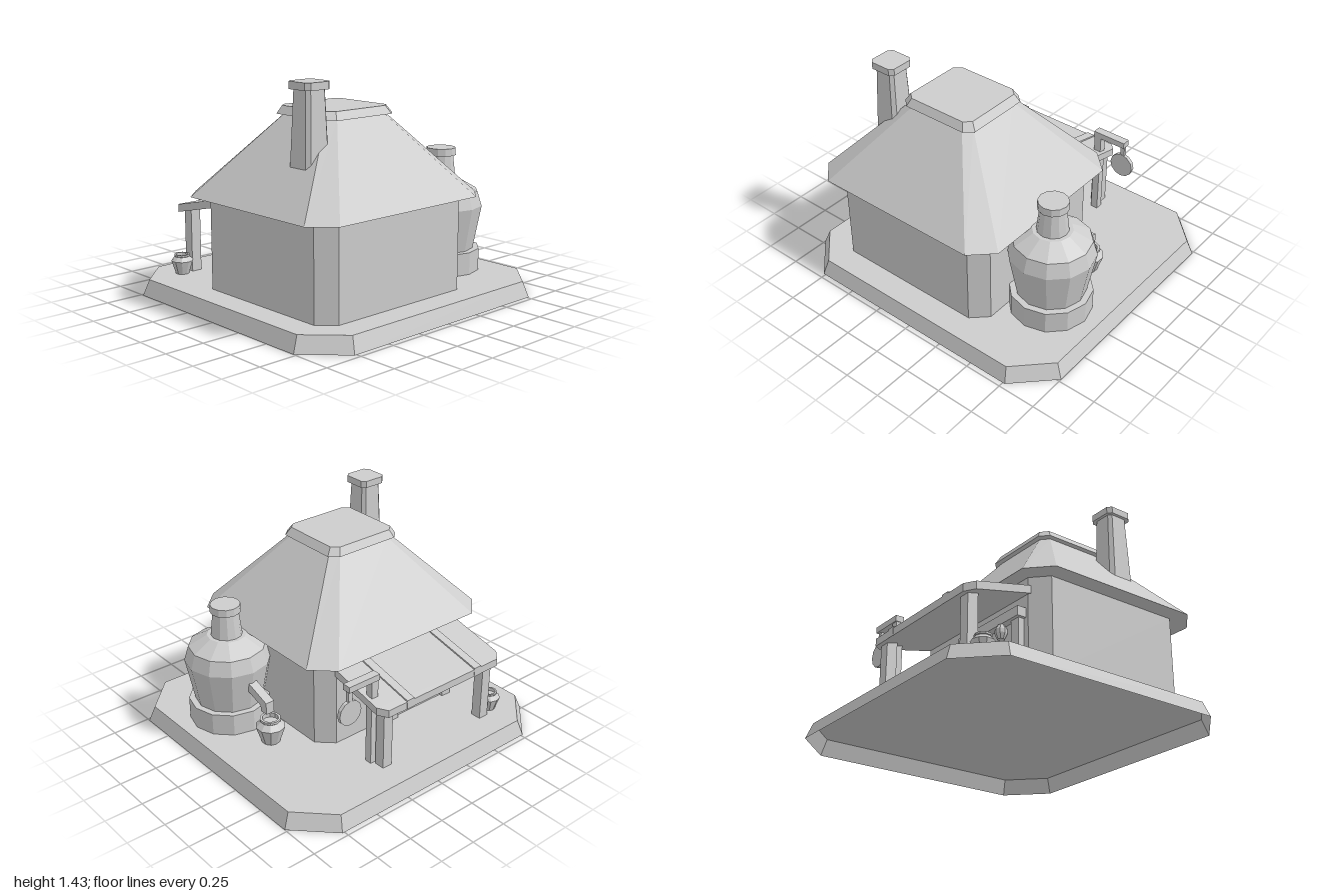
import * as THREE from 'three';

const grey = new THREE.MeshStandardMaterial({
  color: 0xcccccc, flatShading: true, side: THREE.DoubleSide,
});
grey.name = 'plain grey';

// Corner-cut rectangle, counter-clockwise from above: c = [cut in x, cut in z]
function ring({ y, x, z, c }) {
  const [x0, x1] = x, [z0, z1] = z, [cx, cz] = c;
  return [
    [x1, z1 - cz], [x1, z0 + cz], [x1 - cx, z0], [x0 + cx, z0],
    [x0, z0 + cz], [x0, z1 - cz], [x0 + cx, z1], [x1 - cx, z1],
  ].map(([px, pz]) => [px, y, pz]);
}

// Solid through two corner-cut sections, optionally without its underside
function loft(lower, upper, openBottom = false) {
  const a = ring(lower), b = ring(upper), pos = [];
  const tri = (...pts) => pts.forEach((p) => pos.push(...p));
  for (let i = 0; i < 8; i++) {
    const j = (i + 1) % 8;
    tri(a[i], a[j], b[j]);
    tri(a[i], b[j], b[i]);
  }
  for (let i = 1; i < 7; i++) {
    tri(b[0], b[i], b[i + 1]);
    if (!openBottom) tri(a[0], a[i + 1], a[i]);
  }
  const g = new THREE.BufferGeometry();
  g.setAttribute('position', new THREE.Float32BufferAttribute(pos, 3));
  g.computeVertexNormals();
  return g;
}

const boxBetween = (x, y, z) =>
  new THREE.BoxGeometry(x[1] - x[0], y[1] - y[0], z[1] - z[0])
    .translate((x[0] + x[1]) / 2, (y[0] + y[1]) / 2, (z[0] + z[1]) / 2);

const lathe = (profile, sides, x, z) =>
  new THREE.LatheGeometry(profile.map(([r, y]) => new THREE.Vector2(r, y)), sides)
    .translate(x, 0, z);

// Flat outline (x, distance behind centre) raised to a slab and sheared to the awning pitch
function slopedSlab(outline, thickness, top) {
  const shape = new THREE.Shape(outline.map(([x, d]) => new THREE.Vector2(x, d)));
  const g = new THREE.ExtrudeGeometry(shape, { depth: thickness, bevelEnabled: false });
  g.rotateX(-Math.PI / 2);
  const p = g.attributes.position;
  for (let i = 0; i < p.count; i++) {
    p.setY(i, p.getY(i) + top - thickness + (p.getZ(i) + 0.37) * 0.235);
  }
  g.computeVertexNormals();
  return g;
}

export function createModel() {
  const model = new THREE.Group();
  const add = (name, geometry) => {
    const mesh = new THREE.Mesh(geometry, grey);
    mesh.name = name;
    model.add(mesh);
  };

  // Ground slab, hollow underneath
  add('base', loft(
    { y: 0, x: [-1, 1], z: [-0.967, 0.967], c: [0.235, 0.235] },
    { y: 0.1, x: [-0.96, 0.96], z: [-0.93, 0.93], c: [0.215, 0.215] },
    true,
  ));

  // House
  const wall = (y) => ({ y, x: [-0.79, 0.41], z: [-0.37, 0.76], c: [0.1, 0.095] });
  add('walls', loft(wall(0.1), wall(0.69)));
  add('roof', loft(
    { y: 0.69, x: [-0.9, 0.51], z: [-0.465, 0.845], c: [0.14, 0.135] },
    { y: 1.19, x: [-0.44, 0.05], z: [-0.035, 0.425], c: [0.05, 0.045] },
  ));
  add('roofCap', loft(
    { y: 1.19, x: [-0.475, 0.085], z: [-0.07, 0.455], c: [0.055, 0.05] },
    { y: 1.24, x: [-0.445, 0.05], z: [-0.042, 0.425], c: [0.045, 0.04] },
  ));

  // Chimney
  const square = (y, h, c) => (
    { y, x: [-0.583 - h, -0.583 + h], z: [0.4 - h, 0.4 + h], c: [c, c] });
  add('chimney', loft(square(0.75, 0.097, 0.025), square(1.39, 0.072, 0.02)));
  add('chimneyCap', loft(square(1.385, 0.093, 0.025), square(1.43, 0.093, 0.025)));

  // Large vessel on its round stand
  const vx = 0.617, vz = 0.335;
  add('vesselStand', new THREE.CylinderGeometry(0.262, 0.262, 0.145, 12).translate(vx, 0.1725, vz));
  add('vesselBody', lathe([
    [0, 0.24], [0.22, 0.24], [0.275, 0.53], [0.245, 0.625], [0.125, 0.695], [0, 0.695],
  ], 12, vx, vz));
  add('vesselNeck', new THREE.CylinderGeometry(0.08, 0.1, 0.17, 12).translate(vx, 0.775, vz));
  add('vesselCap', new THREE.CylinderGeometry(0.095, 0.098, 0.048, 12).translate(vx, 0.88, vz));

  // Bent spout: side outline (distance behind centre, height) given width along x
  const spout = new THREE.Shape([
    [-0.15, 0.41], [0.035, 0.35], [0.035, 0.31], [0.093, 0.31], [0.093, 0.39], [-0.15, 0.475],
  ].map(([d, y]) => new THREE.Vector2(d, y)));
  add('spout', new THREE.ExtrudeGeometry(spout, { depth: 0.06, bevelEnabled: false })
    .rotateY(Math.PI / 2).translate(0.58, 0, 0));

  // Clay pots with hollow mouths
  const pot = (name, x, z, s) => add(name, lathe([
    [0, 0], [0.058, 0], [0.095, 0.115], [0.062, 0.15], [0.067, 0.155],
    [0.067, 0.17], [0.052, 0.17], [0.052, 0.14], [0, 0.14],
  ].map(([r, y]) => [r * s, 0.1 + y * s]), 10, x, z));
  pot('spoutPot', 0.605, -0.083, 1);
  pot('backPot', -0.715, -0.7, 0.75);

  // Awning with raised battens and posts
  add('awning', slopedSlab([
    [-0.705, 0.36], [0.315, 0.36], [0.315, 0.74], [0.265, 0.795], [-0.655, 0.795], [-0.705, 0.74],
  ], 0.05, 0.635));
  for (const x of [-0.478, 0.092]) {
    add('awningBatten', slopedSlab([
      [x - 0.028, 0.36], [x + 0.028, 0.36], [x + 0.028, 0.797], [x - 0.028, 0.797],
    ], 0.06, 0.645));
  }
  for (const x of [-0.61, 0.23]) {
    add('awningPost', boxBetween([x - 0.035, x + 0.035], [0.1, 0.53], [-0.755, -0.685]));
  }

  // Hanging round sign
  add('signPost', boxBetween([0.24, 0.29], [0.1, 0.69], [-0.67, -0.622]));
  add('signArm', boxBetween([0.235, 0.47], [0.68, 0.72], [-0.678, -0.622]));
  add('signHanger', boxBetween([0.435, 0.465], [0.6, 0.69], [-0.662, -0.642]));
  add('signDisc', new THREE.CylinderGeometry(0.083, 0.083, 0.024, 12)
    .rotateX(Math.PI / 2).translate(0.448, 0.53, -0.652));

  // Back door with frame and knob
  add('door', boxBetween([-0.6, -0.16], [0.1, 0.46], [-0.385, -0.36]));
  for (const x of [-0.615, -0.145]) {
    add('doorJamb', boxBetween([x - 0.035, x + 0.035], [0.1, 0.46], [-0.408, -0.36]));
  }
  add('doorLintel', boxBetween([-0.67, -0.09], [0.445, 0.505], [-0.43, -0.36]));
  add('doorKnob', lathe([
    [0, 0.355], [0.022, 0.355], [0.037, 0.39], [0.037, 0.415], [0.02, 0.445], [0, 0.445],
  ], 8, -0.5, -0.418));

  return model;
}
